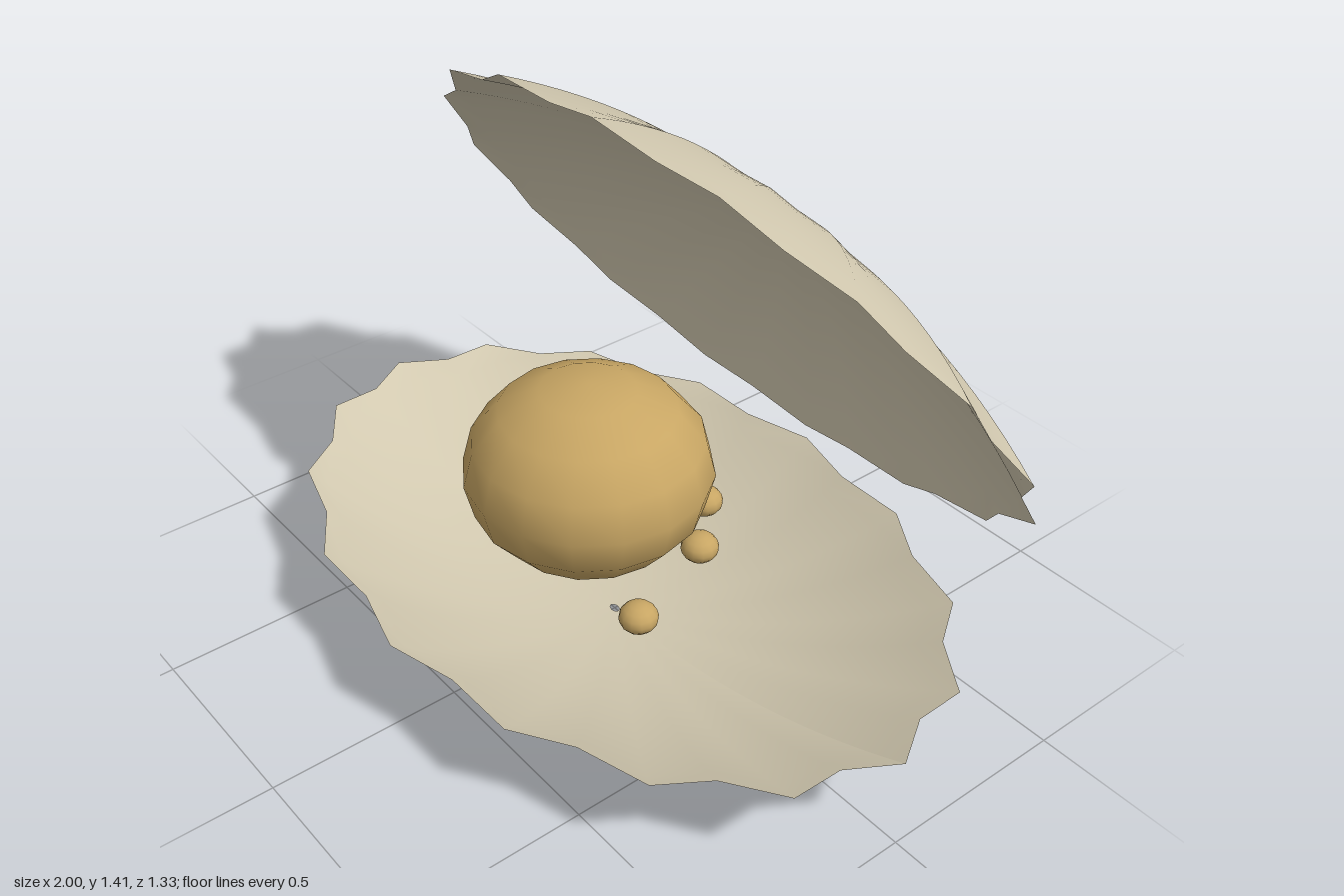
import * as THREE from 'three';

export function createModel() {
  const model = new THREE.Group();
  model.name = 'clam';

  const shellMat = new THREE.MeshStandardMaterial({ color: 0xd2c9b0, side: THREE.DoubleSide });
  shellMat.name = 'shell cream';
  const pearlMat = new THREE.MeshStandardMaterial({ color: 0xc8a664 });
  pearlMat.name = 'pearl gold';

  // Scalloped shallow bowl: a parabola turned in 32 steps, every other rib drawn in
  const profile = [];
  for (let i = 0; i <= 16; i++) {
    const t = 0.015 + 0.985 * (i / 16);
    profile.push(new THREE.Vector2(t, 0.245 * t * t));
  }
  const shellGeo = new THREE.LatheGeometry(profile, 32);
  shellGeo.rotateY(Math.PI / 2);
  const pos = shellGeo.attributes.position;
  for (let i = 0; i < pos.count; i++) {
    const x = pos.getX(i), z = pos.getZ(i);
    const ripple = 0.9725 + 0.0275 * Math.cos(16 * Math.atan2(z, x));
    pos.setX(i, x * ripple);
    pos.setZ(i, z * ripple * 0.663);
  }
  shellGeo.computeVertexNormals();

  const lower = new THREE.Mesh(shellGeo, shellMat);
  lower.name = 'lowerShell';
  model.add(lower);

  // Upper shell tips open; the pivot is the centre of its rim
  const upper = new THREE.Group();
  upper.name = 'upperShell';
  upper.position.set(0, 0.848, -0.295);
  upper.rotation.x = 2.143;
  const upperMesh = new THREE.Mesh(shellGeo, shellMat);
  upperMesh.name = 'upperShellBowl';
  upperMesh.position.y = -0.245;
  upper.add(upperMesh);
  model.add(upper);

  // Slightly flattened pearls
  const addPearl = (name, geo, r, x, y, z) => {
    const m = new THREE.Mesh(geo, pearlMat);
    m.name = name;
    m.scale.set(r, r * 0.79, r);
    m.position.set(x, y, z);
    model.add(m);
  };
  addPearl('largePearl', new THREE.SphereGeometry(1, 16, 8), 0.307, 0, 0.49, 0.08);

  const smallGeo = new THREE.SphereGeometry(1, 12, 8);
  [[0.31, 0.175], [-0.055, 0.2], [-0.322, -0.03], [-0.11, -0.2], [0.07, -0.235], [0.203, -0.105]]
    .forEach(([x, z], i) => addPearl('smallPearl' + (i + 1), smallGeo, 0.048, x, 0.28, z));

  return model;
}
